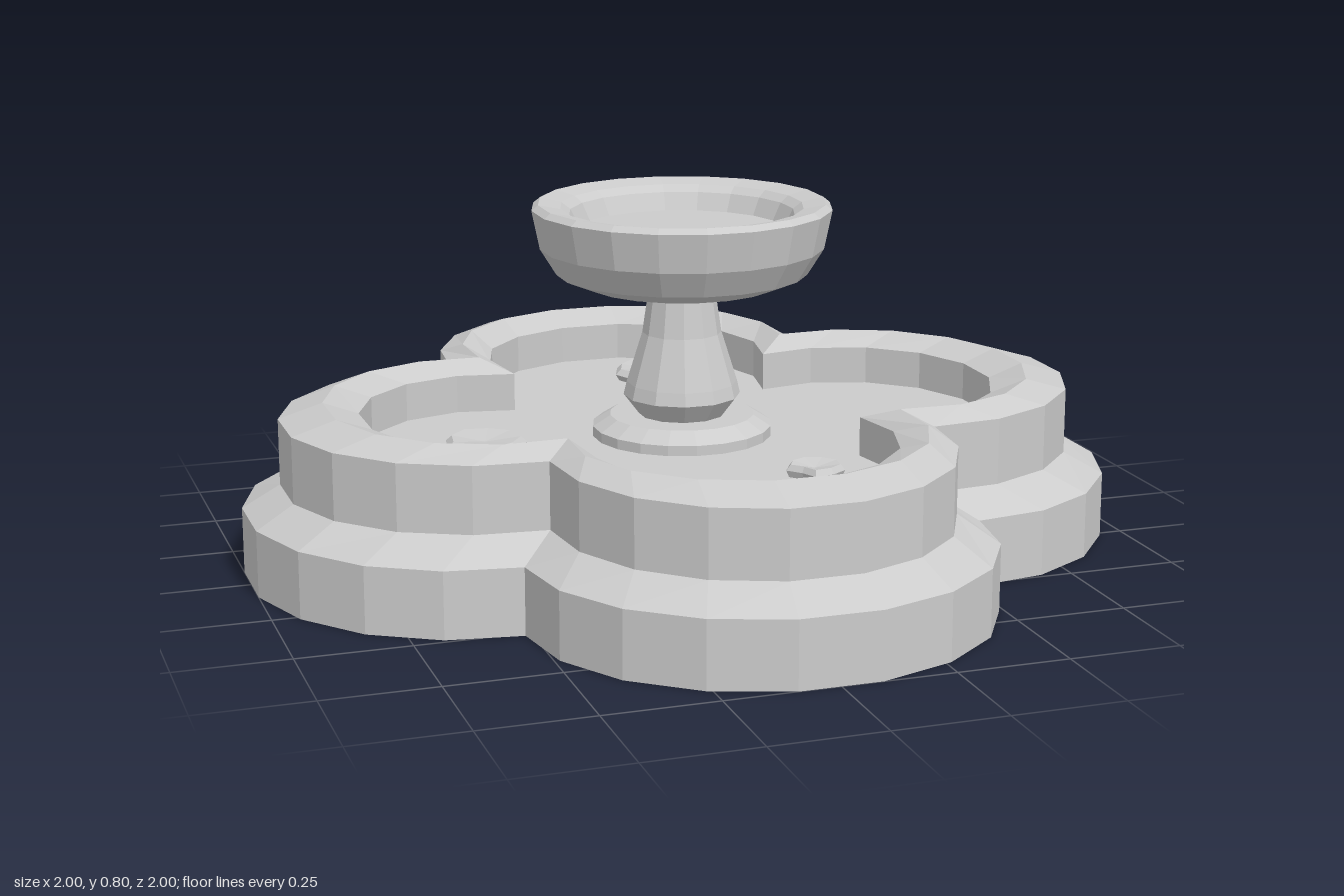
import * as THREE from 'three';

const stone = new THREE.MeshStandardMaterial({ color: 0xcccccc, flatShading: true });
const SEGMENTS = 9; // straight edges per lobe

// Four-lobed outline: tip = reach of a lobe, notch = corner between lobes, sweep = half arc in degrees
function quatrefoil(tip, notch, sweep, y) {
  const A = THREE.MathUtils.degToRad(sweep);
  const depth = (tip - notch) / (Math.cos(A / SEGMENTS) - Math.cos(A));
  const centre = notch - depth * Math.cos(A);
  const width = notch / Math.sin(A);
  const ring = [];
  for (let k = 0; k < 4; k++) {
    for (let i = 0; i < SEGMENTS; i++) {
      const a = -A + (2 * A * i) / SEGMENTS;
      const p = new THREE.Vector3(width * Math.sin(a), y, centre + depth * Math.cos(a));
      ring.push(p.applyAxisAngle(new THREE.Vector3(0, 1, 0), (k * Math.PI) / 2));
    }
  }
  return ring;
}

// Joins rings of equal length; optional centre points close the first and last ring
function loft(rings, startCentre, endCentre) {
  const n = rings[0].length;
  const points = rings.flat();
  const index = [];
  for (let r = 0; r < rings.length - 1; r++) {
    for (let i = 0; i < n; i++) {
      const a = r * n + i, b = r * n + ((i + 1) % n);
      index.push(a, b, b + n, a, b + n, a + n);
    }
  }
  const cap = (centre, first, up) => {
    const c = points.push(centre) - 1;
    for (let i = 0; i < n; i++) {
      const a = first + i, b = first + ((i + 1) % n);
      index.push(c, up ? a : b, up ? b : a);
    }
  };
  const last = (rings.length - 1) * n;
  if (startCentre) cap(startCentre, 0, false);
  if (endCentre) cap(endCentre, last, true);
  const geometry = new THREE.BufferGeometry().setFromPoints(points);
  geometry.setIndex(index);
  geometry.computeVertexNormals();
  return geometry;
}

function addMesh(parent, name, geometry) {
  const mesh = new THREE.Mesh(geometry, stone);
  mesh.name = name;
  parent.add(mesh);
  return mesh;
}

function lathe(profile, sides) {
  const geometry = new THREE.LatheGeometry(profile.map(([r, y]) => new THREE.Vector2(r, y)), sides);
  return geometry.rotateY(Math.PI / sides);
}

// Thin floating leaf with one notch, a bevelled rim and a dished middle
function lilyPad(rx, rz, notchAngle) {
  const ring = (scale, y) => {
    const pts = [];
    for (let i = 0; i < 9; i++) {
      const a = notchAngle + (i * Math.PI * 2) / 9;
      const r = scale * (i === 0 ? 0.68 : 1 + 0.05 * Math.sin(i * 2.3));
      pts.push(new THREE.Vector3(rx * r * Math.sin(a), y, rz * r * Math.cos(a)));
    }
    return pts;
  };
  return loft([ring(0.9, 0), ring(1, 0.015), ring(0.85, 0.028)], null, new THREE.Vector3(0, 0.018, 0));
}

export function createModel() {
  const model = new THREE.Group();
  model.name = 'fountain';
  const floorY = 0.262;

  // Stepped basin wall, from the foot over the bevelled rim to the inside floor
  addMesh(model, 'basin', loft([
    quatrefoil(1.0, 0.515, 92, 0),
    quatrefoil(1.0, 0.515, 92, 0.15),
    quatrefoil(0.915, 0.437, 95, 0.2),
    quatrefoil(0.915, 0.437, 95, 0.35),
    quatrefoil(0.815, 0.38, 103, 0.38),
    quatrefoil(0.735, 0.312, 112, 0.35),
    quatrefoil(0.735, 0.312, 112, floorY),
  ], new THREE.Vector3(0, 0, 0)));

  // Water surface
  addMesh(model, 'water', loft([quatrefoil(0.735, 0.312, 112, floorY)], null, new THREE.Vector3(0, floorY, 0)));

  // Round foot of the pedestal
  addMesh(model, 'pedestalFoot', lathe([
    [0.205, floorY], [0.205, 0.285], [0.165, 0.31], [0, 0.31],
  ], 20));

  // Flared stem
  addMesh(model, 'stem', lathe([
    [0.095, 0.305], [0.133, 0.355], [0.126, 0.385], [0.09, 0.5], [0.073, 0.615],
  ], 12));

  // Upper bowl with a hollow
  addMesh(model, 'bowl', lathe([
    [0, 0.61], [0.22, 0.613], [0.285, 0.64], [0.322, 0.7], [0.34, 0.788], [0.325, 0.8],
    [0.275, 0.79], [0.255, 0.775], [0.235, 0.735], [0, 0.735],
  ], 20));

  // Lily pads: x, z, half width, half depth, notch direction
  const pads = [
    [0.09, -0.515, 0.09, 0.1, 2.7],
    [-0.465, 0.0, 0.092, 0.098, -0.7],
    [-0.39, 0.175, 0.06, 0.065, 2.9],
    [0.16, 0.43, 0.065, 0.06, -1.0],
  ];
  pads.forEach(([x, z, rx, rz, notch], i) => {
    addMesh(model, `lilyPad${i + 1}`, lilyPad(rx, rz, notch)).position.set(x, floorY, z);
  });

  return model;
}
